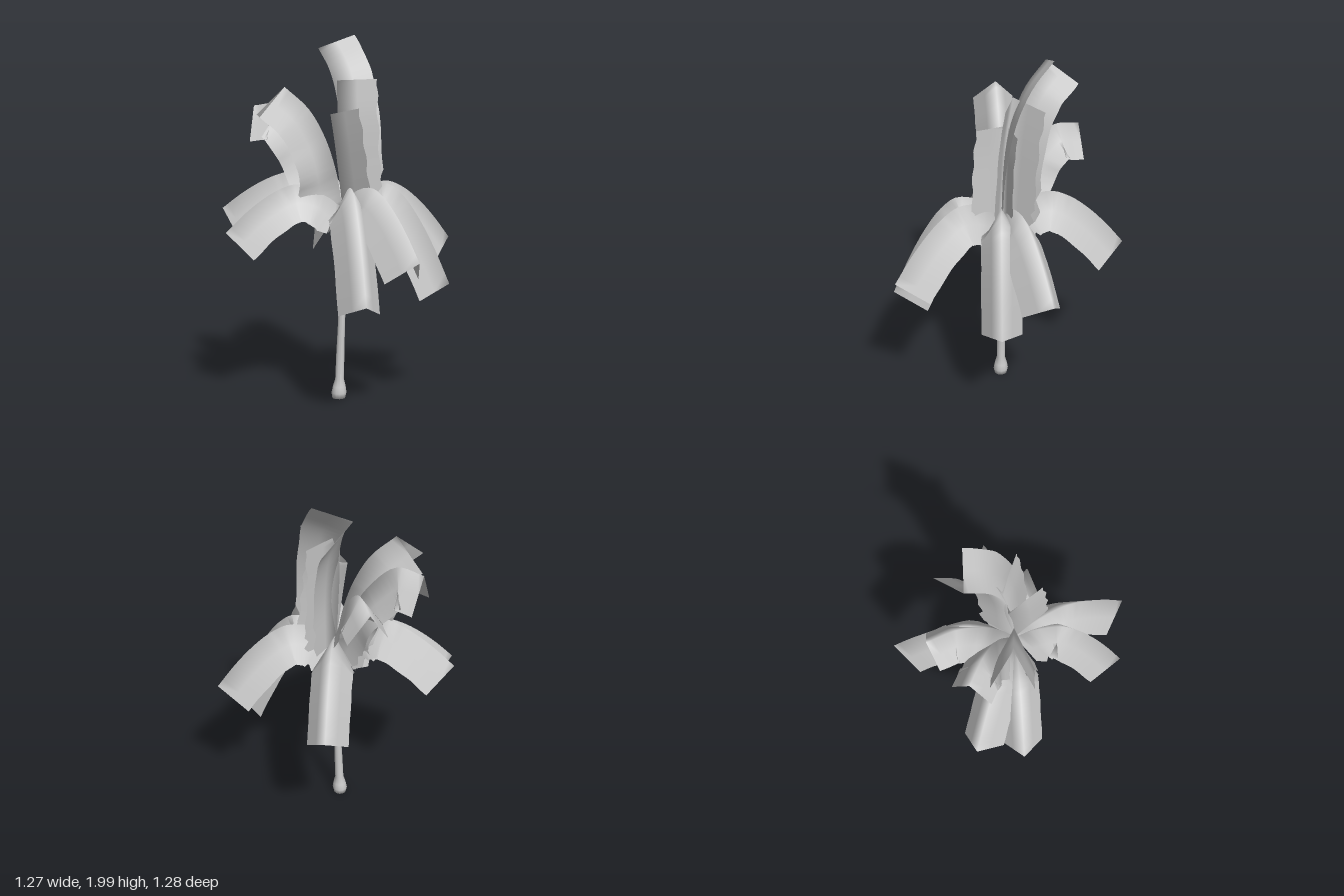
import * as THREE from 'three';

const V = (x, y, z) => new THREE.Vector3(x, y, z);
const CROWN = V(0.0, 1.07, 0.035);
const DOWN = V(0, -1, 0);

const trunkMaterial = new THREE.MeshStandardMaterial({ color: 0xcccccc });
const leafMaterial = new THREE.MeshStandardMaterial({ color: 0xcccccc, side: THREE.DoubleSide });

// Slender leaning trunk with a swollen foot
function makeTrunk() {
  const profile = [
    [0, 0], [0.036, 0], [0.042, 0.03], [0.036, 0.065], [0.024, 0.11], [0.023, 0.25],
    [0.02, 0.4], [0.02, 0.55], [0.017, 0.75], [0.017, 0.95], [0.014, 1.1], [0, 1.11],
  ].map(([r, y]) => new THREE.Vector2(r, y));
  const geometry = new THREE.LatheGeometry(profile, 12);
  const p = geometry.attributes.position;
  for (let i = 0; i < p.count; i++) {
    const y = p.getY(i);
    p.setX(i, p.getX(i) - 0.02 + 0.036 * y);
    p.setZ(i, p.getZ(i) + 0.04 - 0.006 * y);
  }
  geometry.computeVertexNormals();
  const trunk = new THREE.Mesh(geometry, trunkMaterial);
  trunk.name = 'trunk';
  return trunk;
}

// A leaf folded along its spine: both halves hang towards "open"
function makeFrond(points, { open = DOWN, half = 0.11, depth = 0.188, seed = 0, wave = 0.01 } = {}) {
  const curve = new THREE.CatmullRomCurve3(points);
  const rows = 20, across = [-1, -0.5, 0, 0.5, 1];
  const positions = [], index = [];
  for (let i = 0; i <= rows; i++) {
    const t = i / rows;
    const c = curve.getPoint(t), T = curve.getTangent(t);
    const D = open.clone().addScaledVector(T, -open.dot(T)).normalize();
    const S = T.clone().cross(D);
    // ragged edge near the crown, gently wavy further out
    const rag = t < 0.2 ? (i % 2 ? 0.03 : -0.1) : wave * Math.sin(i * 1.1 + seed) * (t < 1 ? 1 : 0);
    for (const a of across) {
      const m = Math.abs(a);
      const w = m === 1 ? 1 + rag : 1;
      const v = c.clone().addScaledVector(S, a * half * w).addScaledVector(D, m * depth * w);
      positions.push(v.x, v.y, v.z);
    }
    if (i === rows) break;
    for (let j = 0; j < 4; j++) {
      const k = i * 5 + j;
      index.push(k, k + 1, k + 5, k + 1, k + 6, k + 5);
    }
  }
  const geometry = new THREE.BufferGeometry();
  geometry.setAttribute('position', new THREE.Float32BufferAttribute(positions, 3));
  geometry.setIndex(index);
  geometry.computeVertexNormals();
  return new THREE.Mesh(geometry, leafMaterial);
}

// Spine that rises from the crown, arches over and falls to the tip
function droopSpine(x, y, z, apex) {
  const rise = [[0, CROWN.y], [0.17, 1.07 + (apex - 1.07) * 0.72]];
  const fall = [0.4, 0.55, 0.7, 0.85, 1].map(r => [r, apex - (apex - y) * ((r - 0.4) / 0.6) ** 1.6]);
  return [...rise, ...fall].map(([r, h]) =>
    V(THREE.MathUtils.lerp(CROWN.x, x, r), h, THREE.MathUtils.lerp(CROWN.z, z, r)));
}

export function createModel() {
  const model = new THREE.Group();
  model.name = 'palmTree';
  model.add(makeTrunk());

  // Drooping fronds: tip x, y, z and height of the arch
  const drooping = [
    [0.04, 0.64, 0.64, 1.2],
    [0.31, 0.86, 0.635, 1.2],
    [0.585, 0.64, 0.1, 1.2],
    [0.635, 0.86, -0.16, 1.2],
    [0.01, 0.86, -0.64, 1.2],
    [-0.64, 1.05, -0.15, 1.26],
    [-0.635, 0.95, 0.1, 1.2],
  ];
  drooping.forEach(([x, y, z, apex], i) => {
    const frond = makeFrond(droopSpine(x, y, z, apex), { seed: i });
    frond.name = 'droopingFrond' + (i + 1);
    model.add(frond);
  });

  // Rising fronds: spine points above the crown and fold settings
  const rising = [
    // arching to the back
    { spine: [[-0.03, 1.25, -0.04], [-0.08, 1.42, -0.13], [-0.14, 1.525, -0.26], [-0.2, 1.5, -0.41]], depth: 0.17 },
    // arching to the back right
    { spine: [[-0.07, 1.25, 0], [-0.17, 1.46, -0.06], [-0.32, 1.62, -0.12], [-0.46, 1.61, -0.18]], depth: 0.19 },
    // leaning to the right
    { spine: [[-0.03, 1.25, 0.03], [-0.09, 1.44, 0.03], [-0.18, 1.6, 0.03], [-0.31, 1.72, 0.03]], depth: 0.21 },
    // tallest, bending back at the top
    { spine: [[0, 1.4, 0.02], [-0.02, 1.65, -0.03], [-0.05, 1.8, -0.1], [-0.1, 1.92, -0.21]],
      open: V(0.16, -0.01, -0.085), half: 0.118, depth: 0.181 },
    // upright, folded open to the left
    { spine: [[-0.01, 1.3, 0.02], [-0.02, 1.55, 0], [-0.02, 1.75, -0.03]],
      open: V(0.97, 0, -0.22), wave: 0.03 },
    // short upright, folded open to the front left
    { spine: [[-0.02, 1.25, 0.03], [-0.04, 1.42, 0.02], [-0.06, 1.57, 0]],
      open: V(0.92, 0.2, 0.37), wave: 0.03 },
  ];
  rising.forEach(({ spine, ...options }, i) => {
    const points = [CROWN, ...spine.map(p => V(...p))];
    const frond = makeFrond(points, { ...options, seed: i * 2 });
    frond.name = 'risingFrond' + (i + 1);
    model.add(frond);
  });
  return model;
}
